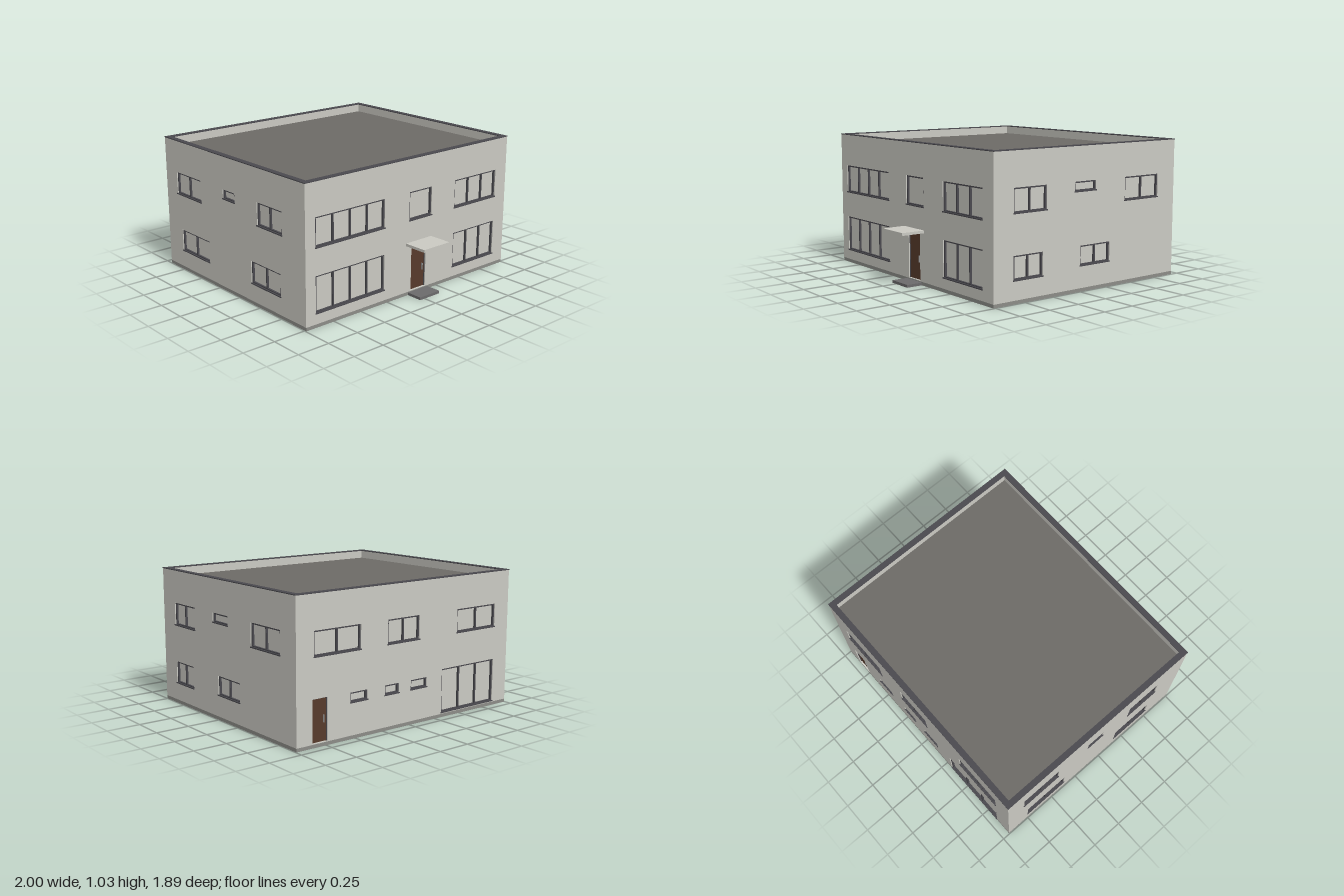
import * as THREE from 'three';

const mat = (name, color) => {
  const m = new THREE.MeshStandardMaterial({ color });
  m.name = name;
  return m;
};
const render = mat('pale render', 0xcac9c2);
const dark = mat('dark metal', 0x4a494e);
const roofing = mat('roof grey', 0x6c6a66);
const plinthGrey = mat('plinth grey', 0x8b8c87);
const stepGrey = mat('step grey', 0x6b6a6b);
const wood = mat('brown door', 0x573a2b);
const steel = mat('handle steel', 0x8f8f8f);

// House outline
const X = 0.995, Z0 = -0.94, Z1 = 0.763, T = 0.042, BASE = 0.025, TOP = 1.025;
const ZC = (Z0 + Z1) / 2;

// Box given by its minimum and maximum corners
function box(name, material, x0, x1, y0, y1, z0, z1) {
  const mesh = new THREE.Mesh(new THREE.BoxGeometry(x1 - x0, y1 - y0, z1 - z0), material);
  mesh.position.set((x0 + x1) / 2, (y0 + y1) / 2, (z0 + z1) / 2);
  mesh.name = name;
  return mesh;
}

function rectPath(Kind, a, b, c, d) {
  const p = new Kind();
  p.moveTo(a, c);
  p.lineTo(b, c);
  p.lineTo(b, d);
  p.lineTo(a, d);
  p.closePath();
  return p;
}

// Window with recessed frame, panes and a projecting sill (outer wall face at z = 0)
function makeWindow(a, b, c, d, panes) {
  const g = new THREE.Group(), w = 0.011, f = -0.007, k = -0.022;
  g.name = 'window';
  g.add(box('panes', render, a, b, c, d, k - 0.006, k));
  g.add(box('frameTop', dark, a, b, d - w, d, k, f));
  g.add(box('frameBottom', dark, a, b, c, c + w, k, f));
  for (let i = 0; i <= panes; i++) {
    const u = a + w / 2 + (b - a - w) * i / panes;
    g.add(box('frameBar', dark, u - w / 2, u + w / 2, c + w, d - w, k, f));
  }
  g.add(box('sill', dark, a - 0.005, b + 0.005, c - 0.004, c + 0.004, k, 0.005));
  return g;
}

// Recessed door with slim frame and upright handle
function makeDoor(a, b, c, d, handleU) {
  const g = new THREE.Group(), w = 0.004;
  g.name = 'door';
  g.add(box('doorLeaf', wood, a + w, b - w, c, d - w, -0.03, -0.014));
  g.add(box('doorFrameTop', dark, a, b, d - w, d, -0.03, -0.008));
  g.add(box('doorFrameSide', dark, a, a + w, c, d - w, -0.03, -0.008));
  g.add(box('doorFrameSide', dark, b - w, b, c, d - w, -0.03, -0.008));
  g.add(box('doorHandle', steel, handleU - 0.004, handleU + 0.004, 0.16, 0.21, -0.014, -0.004));
  return g;
}

// Wall along local x with openings [from, to, bottom, top, panes]; panes 0 is a door.
// flip mirrors the openings where local x runs against the world axis.
function makeWall(name, from, to, openings, flip) {
  const g = new THREE.Group();
  g.name = name;
  const s = flip ? -1 : 1;
  const span = (p, q) => [Math.min(s * p, s * q), Math.max(s * p, s * q)];
  const [u0, u1] = span(from, to);
  const shape = rectPath(THREE.Shape, u0, u1, BASE, TOP);
  for (const [p, q, c, d, panes, handle] of openings) {
    const [a, b] = span(p, q);
    shape.holes.push(rectPath(THREE.Path, a, b, c, d));
    g.add(panes ? makeWindow(a, b, c, d, panes) : makeDoor(a, b, c, d, s * handle));
  }
  const geo = new THREE.ExtrudeGeometry(shape, { depth: T, bevelEnabled: false });
  geo.translate(0, 0, -T);
  const mesh = new THREE.Mesh(geo, render);
  mesh.name = name + 'Surface';
  g.add(mesh);
  return g;
}

export function createModel() {
  const house = new THREE.Group();
  house.name = 'house';

  // Front wall
  const front = makeWall('frontWall', -X, X, [
    [-0.91, -0.285, 0.57, 0.783, 4], [-0.045, 0.18, 0.57, 0.783, 1], [0.422, 0.877, 0.57, 0.783, 3],
    [-0.91, -0.285, 0.103, 0.372, 4], [0.422, 0.877, 0.103, 0.372, 3],
    [-0.018, 0.13, 0.03, 0.376, 0, 0.104],
  ], false);
  front.position.z = Z1;

  // Back wall
  const back = makeWall('backWall', -X, X, [
    [0.455, 0.852, 0.61, 0.783, 2], [-0.08, 0.215, 0.61, 0.783, 2], [-0.852, -0.455, 0.61, 0.783, 2],
    [0.395, 0.545, 0.255, 0.325, 1], [0.107, 0.238, 0.255, 0.325, 1], [-0.16, -0.005, 0.255, 0.325, 1],
    [-0.852, -0.31, 0.035, 0.36, 3],
    [0.74, 0.866, 0.03, 0.33, 0, 0.765],
  ], true);
  back.position.z = Z0;
  back.rotation.y = Math.PI;

  // Side walls, fitted between front and back
  const right = makeWall('sideWallPlusX', Z0 + T, Z1 - T, [
    [0.31, 0.596, 0.61, 0.78, 2], [-0.142, 0.056, 0.71, 0.78, 1], [-0.767, -0.427, 0.61, 0.78, 2],
    [0.343, 0.596, 0.16, 0.328, 2], [-0.282, 0, 0.185, 0.328, 2],
  ], true);
  right.position.x = X;
  right.rotation.y = Math.PI / 2;

  const left = makeWall('sideWallMinusX', Z0 + T, Z1 - T, [
    [-0.79, -0.46, 0.61, 0.78, 2], [-0.175, -0.03, 0.71, 0.78, 1], [0.235, 0.515, 0.61, 0.78, 2],
    [-0.75, -0.38, 0.16, 0.328, 2], [0.15, 0.49, 0.16, 0.328, 2],
  ], false);
  left.position.x = -X;
  left.rotation.y = -Math.PI / 2;
  house.add(front, back, right, left);

  // Plinth and sunken flat roof
  house.add(box('plinth', plinthGrey, -X, X, 0, BASE, Z0, Z1));
  house.add(box('flatRoof', roofing, -X + T, X - T, 0.935, 0.965, Z0 + T, Z1 - T));

  // Parapet capping ring
  const h = (Z1 - Z0) / 2, o = 0.002;
  const ring = rectPath(THREE.Shape, -X - o, X + o, -h - o, h + o);
  ring.holes.push(rectPath(THREE.Path, -X + T, X - T, -h + T, h - T));
  const capGeo = new THREE.ExtrudeGeometry(ring, { depth: 0.006, bevelEnabled: false });
  capGeo.rotateX(-Math.PI / 2);
  const cap = new THREE.Mesh(capGeo, dark);
  cap.name = 'parapetCap';
  cap.position.set(0, TOP, ZC);
  house.add(cap);

  // Entrance canopy and step
  house.add(box('canopy', render, -0.073, 0.183, 0.385, 0.405, Z1, 0.945));
  house.add(box('entranceStep', stepGrey, -0.045, 0.152, 0, 0.02, Z1, 0.89));

  return house;
}
